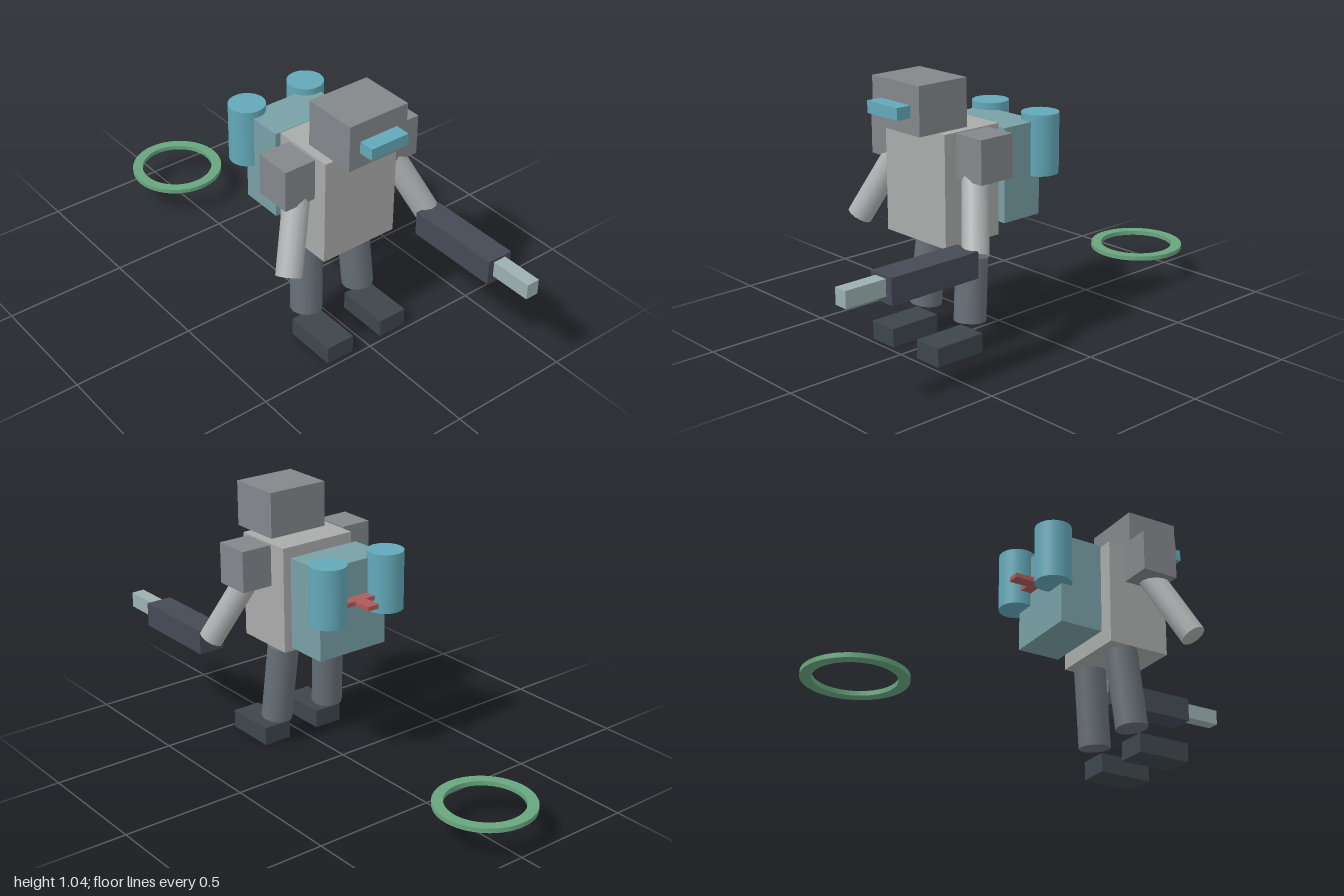
import * as THREE from 'three';

const paint = (color) => new THREE.MeshStandardMaterial({ color });
const COL = {
  armour: paint(0x83878b), torso: paint(0xa9abaa), arm: paint(0xaeb0b1),
  leg: paint(0x666e76), boot: paint(0x3d464c), gun: paint(0x454a55),
  barrel: paint(0x9db0b0), glow: paint(0x62a8b8), pack: paint(0x78a0a6),
  red: paint(0xb05a5c), ring: paint(0x68a67e),
};

export function createModel() {
  const model = new THREE.Group();
  model.name = 'jetpackTrooper';

  const add = (name, geometry, material) => {
    const mesh = new THREE.Mesh(geometry, material);
    mesh.name = name;
    model.add(mesh);
    return mesh;
  };

  // Box given by its extents along each axis
  const box = (name, [x0, x1], [y0, y1], [z0, z1], material) =>
    add(name, new THREE.BoxGeometry(x1 - x0, y1 - y0, z1 - z0), material)
      .position.set((x0 + x1) / 2, (y0 + y1) / 2, (z0 + z1) / 2);

  // Closed cylinder running from one point to another
  const limb = (name, from, to, radius, sides, material) => {
    const a = new THREE.Vector3(...from), b = new THREE.Vector3(...to);
    const axis = b.clone().sub(a);
    const mesh = add(name, new THREE.CylinderGeometry(radius, radius, axis.length(), sides), material);
    mesh.position.copy(a).add(b).multiplyScalar(0.5);
    mesh.quaternion.setFromUnitVectors(new THREE.Vector3(0, 1, 0), axis.normalize());
  };

  // Head, visor and torso
  box('head', [-0.13, 0.13], [0.862, 1.045], [0.278, 0.5], COL.armour);
  box('visor', [-0.083, 0.083], [0.923, 0.969], [0.49, 0.562], COL.glow);
  box('torso', [-0.165, 0.165], [0.435, 0.862], [0.155, 0.415], COL.torso);

  // Mirrored shoulders, arms, legs, feet and thrusters
  for (const [side, s] of [['left', 1], ['right', -1]]) {
    const span = (a, b) => (s > 0 ? [a, b] : [-b, -a]);
    box(`${side}Shoulder`, span(0.176, 0.307), [0.697, 0.862], [0.22, 0.37], COL.armour);
    limb(`${side}Arm`, [s * 0.331, 0.453, 0.42], [s * 0.204, 0.74, 0.307], 0.05, 12, COL.arm);
    limb(`${side}Leg`, [s * 0.128, 0.113, 0.267], [s * 0.111, 0.427, 0.238], 0.063, 12, COL.leg);
    box(`${side}Foot`, span(0.069, 0.19), [0, 0.075], [0.26, 0.479], COL.boot);
    limb(`${side}Thruster`, [s * 0.138, 0.625, -0.085], [s * 0.138, 0.861, -0.085], 0.072, 24, COL.glow);
  }

  // Blaster held in the left hand
  box('blasterBody', [0.259, 0.369], [0.387, 0.486], [0.442, 0.831], COL.gun);
  box('blasterBarrel', [0.285, 0.34], [0.413, 0.476], [0.82, 1], COL.barrel);

  // Backpack and its T-shaped bracket
  box('backpack', [-0.158, 0.158], [0.468, 0.834], [-0.061, 0.118], COL.pack);
  box('bracketBar', [-0.085, 0.085], [0.677, 0.695], [-0.106, -0.06], COL.red);
  box('bracketStem', [-0.025, 0.025], [0.677, 0.695], [-0.182, -0.105], COL.red);

  // Flat ring hovering behind
  const outline = new THREE.Shape().absarc(0, 0, 0.192, 0, Math.PI * 2);
  outline.holes.push(new THREE.Path().absarc(0, 0, 0.15, 0, Math.PI * 2, true));
  const ringGeo = new THREE.ExtrudeGeometry(outline, { depth: 0.018, bevelEnabled: false, curveSegments: 32 });
  const ring = add('hoverRing', ringGeo.rotateX(-Math.PI / 2), COL.ring);
  ring.position.set(0, 0.122, -0.808);

  return model;
}
